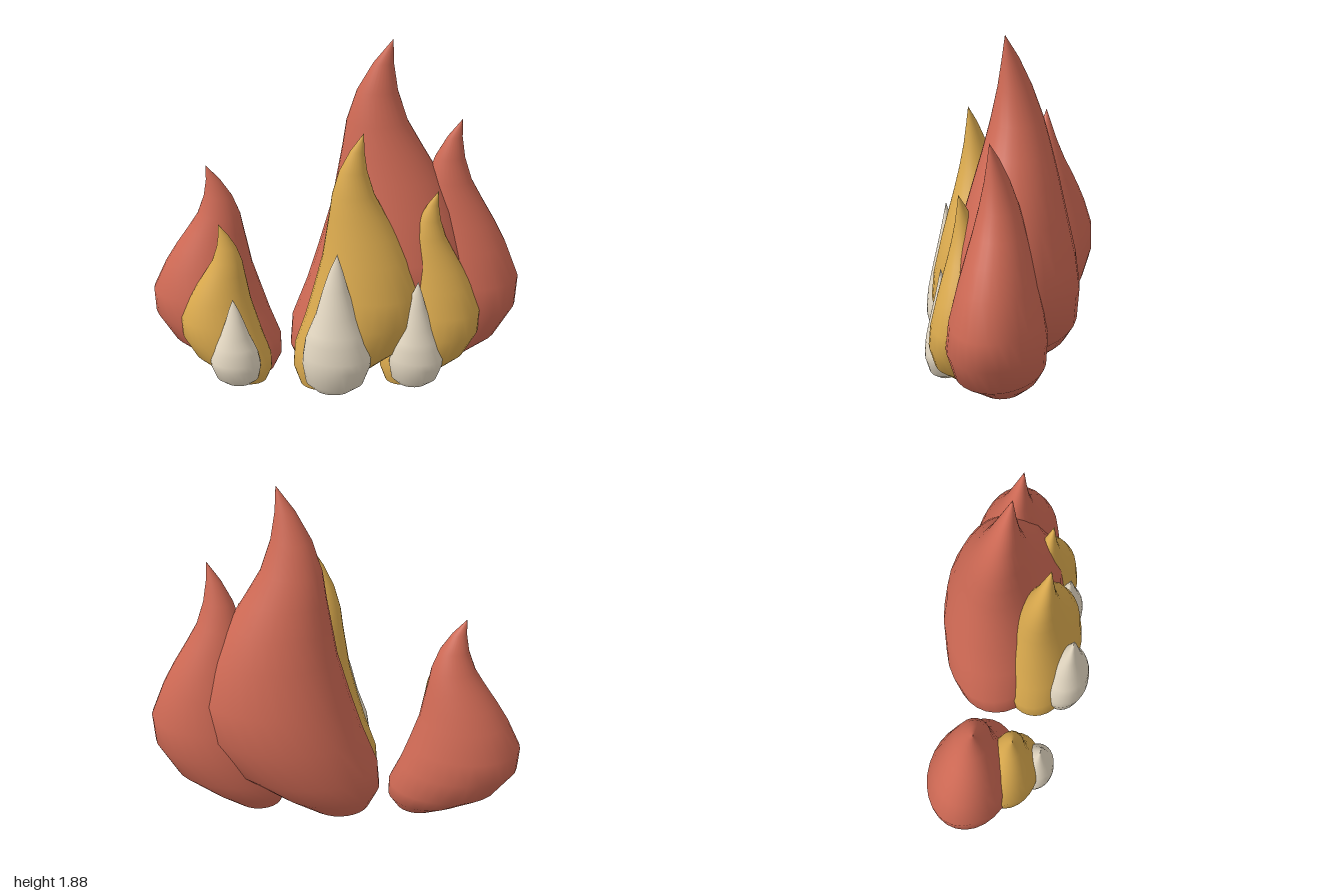
import * as THREE from 'three';

// Unit flame sections: [height, inner edge, outer edge, front, back]
// (edges run 0..1 across the width, depths are relative to the tip)
const FLAME = [
  [0, .063, .413, .18, -.14], [.07, .005, .61, .25, -.26], [.15, .013, .846, .28, -.34],
  [.27, .098, .986, .29, -.38], [.38, .161, 1, .255, -.365], [.51, .231, .9, .2, -.31],
  [.6, .26, .81, .16, -.265], [.68, .287, .72, .125, -.22], [.76, .31, .635, .095, -.17],
  [.85, .365, .58, .06, -.11], [.93, .45, .557, .03, -.055], [1, .553, .553, 0, 0],
];
const DROP = [
  [0, .19, .7, .12, -.27], [.06, .05, .88, .23, -.38], [.19, 0, .985, .295, -.48],
  [.26, .01, 1, .295, -.48], [.375, .05, .92, .28, -.42], [.44, .1, .89, .25, -.39],
  [.56, .2, .78, .2, -.31], [.75, .31, .66, .11, -.15], [.88, .4, .59, .05, -.06],
  [1, .51, .51, 0, 0],
];
const SEGMENTS = 28;

// Loft of elliptical rings from x = inner to x = outer, closed by a flat base
function flameGeometry(rows, inner, outer, y0, y1, tipZ) {
  const span = outer - inner, size = Math.abs(span);
  const pos = [], index = [];
  const ring = ([h, a, b, front, back]) => {
    const cx = inner + span * (a + b) / 2, rx = size * (b - a) / 2;
    const cz = tipZ + size * (front + back) / 2, rz = size * (front - back) / 2;
    for (let i = 0; i < SEGMENTS; i++) {
      const t = i / SEGMENTS * Math.PI * 2;
      pos.push(cx + rx * Math.sin(t), y0 + (y1 - y0) * h, cz + rz * Math.cos(t));
    }
    return [cx, y0 + (y1 - y0) * h, cz];
  };
  rows.forEach(ring);
  for (let r = 0; r < rows.length - 1; r++) {
    for (let i = 0; i < SEGMENTS; i++) {
      const j = (i + 1) % SEGMENTS;
      const a = r * SEGMENTS + i, b = r * SEGMENTS + j;
      const c = b + SEGMENTS, d = a + SEGMENTS;
      index.push(a, b, d);
      if (r < rows.length - 2) index.push(b, c, d);
    }
  }
  // Base has its own ring so its rim stays sharp
  const start = pos.length / 3;
  const centre = ring(rows[0]);
  pos.push(...centre);
  for (let i = 0; i < SEGMENTS; i++) {
    index.push(start + SEGMENTS, start + (i + 1) % SEGMENTS, start + i);
  }
  const geometry = new THREE.BufferGeometry();
  geometry.setAttribute('position', new THREE.Float32BufferAttribute(pos, 3));
  geometry.setIndex(index);
  geometry.computeVertexNormals();
  return geometry;
}

export function createModel() {
  const model = new THREE.Group();
  model.name = 'fire';
  const layers = [
    { name: 'outerFlame', rows: FLAME, color: 0xd06a55 },
    { name: 'middleFlame', rows: FLAME, color: 0xdcab4e },
    { name: 'innerFlame', rows: DROP, color: 0xe6dac4 },
  ].map(l => ({ ...l, material: new THREE.MeshStandardMaterial({ color: l.color }) }));

  // Per flame: inner x, outer x, bottom, top, tip z (outer to inner layer)
  const clusters = {
    rightCluster: [[-.285, -1, 0, 1.18, 0], [-.315, -.81, .02, .92, .18], [-.36, -.63, .05, .55, .315]],
    centreCluster: [[-.25, .75, 0, 1.88, -.07], [-.2, .48, .02, 1.45, .17], [-.13, .24, .05, .85, .345]],
    leftCluster: [[.26, 1, 0, 1.45, -.11], [.265, .8, .02, 1.12, .09], [.325, .615, .05, .66, .225]],
  };
  for (const [name, flames] of Object.entries(clusters)) {
    const group = new THREE.Group();
    group.name = name;
    flames.forEach((f, i) => {
      const mesh = new THREE.Mesh(flameGeometry(layers[i].rows, ...f), layers[i].material);
      mesh.name = layers[i].name;
      group.add(mesh);
    });
    model.add(group);
  }
  return model;
}
